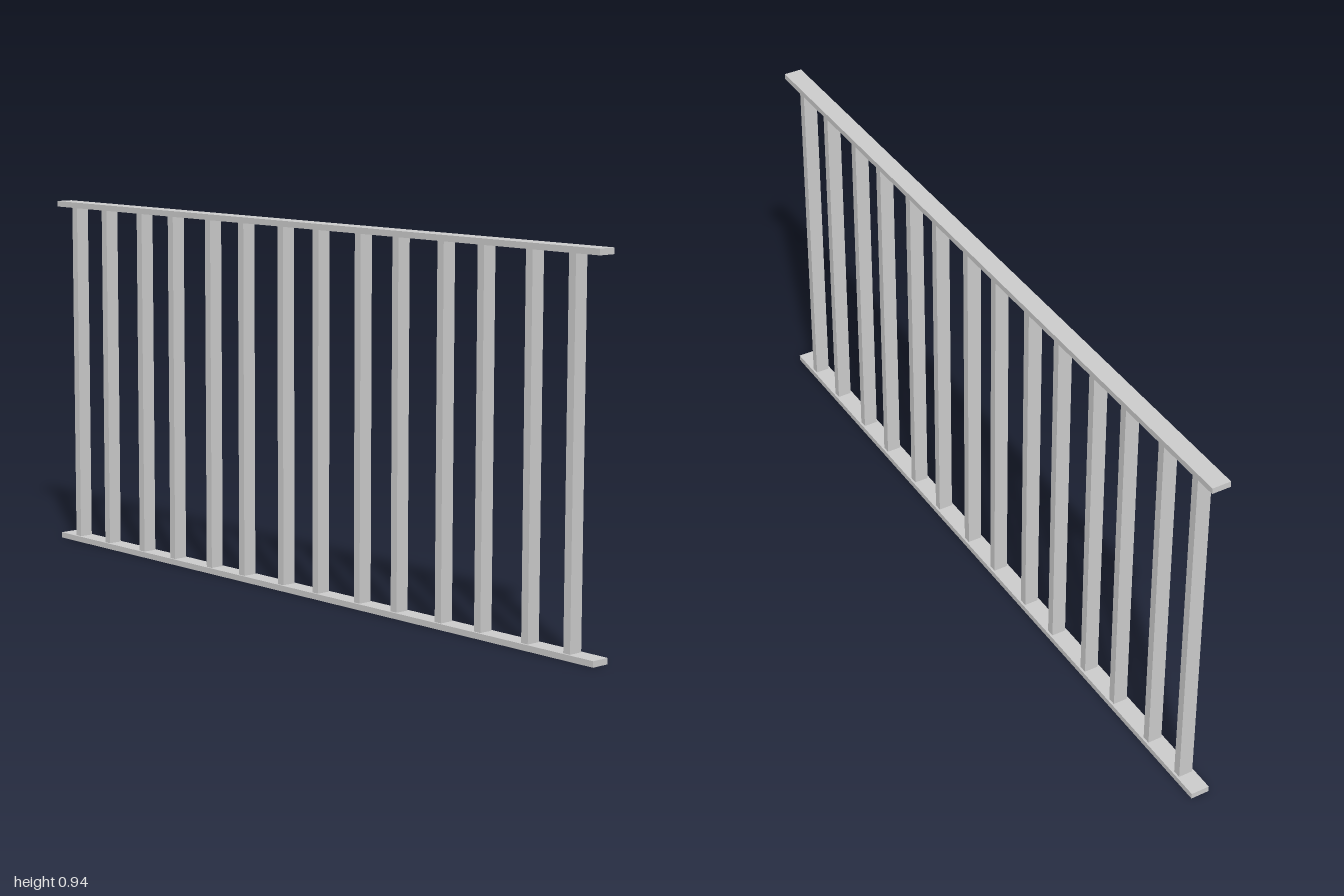
import * as THREE from 'three';

export function createModel() {
  const group = new THREE.Group();
  const material = new THREE.MeshStandardMaterial({ color: 0xcccccc, flatShading: true });

  const addBox = (name, w, h, d, x, y) => {
    const mesh = new THREE.Mesh(new THREE.BoxGeometry(w, h, d), material);
    mesh.name = name;
    mesh.position.set(x, y, 0);
    group.add(mesh);
  };

  const height = 0.94, plate = 0.015;

  // Horizontal rails
  addBox('bottomRail', 2, plate, 0.048, 0, plate / 2);
  addBox('topRail', 2, plate, 0.048, 0, height - plate / 2);

  // Upright bars, set in pairs so the gaps alternate slightly
  const pitch = 0.285, pairGap = 0.132, firstX = -0.928;
  for (let i = 0; i < 7; i++) {
    for (let j = 0; j < 2; j++) {
      addBox(`upright${i * 2 + j + 1}`, 0.021, height - 2 * plate, 0.037,
        firstX + i * pitch + j * pairGap, height / 2);
    }
  }
  return group;
}
